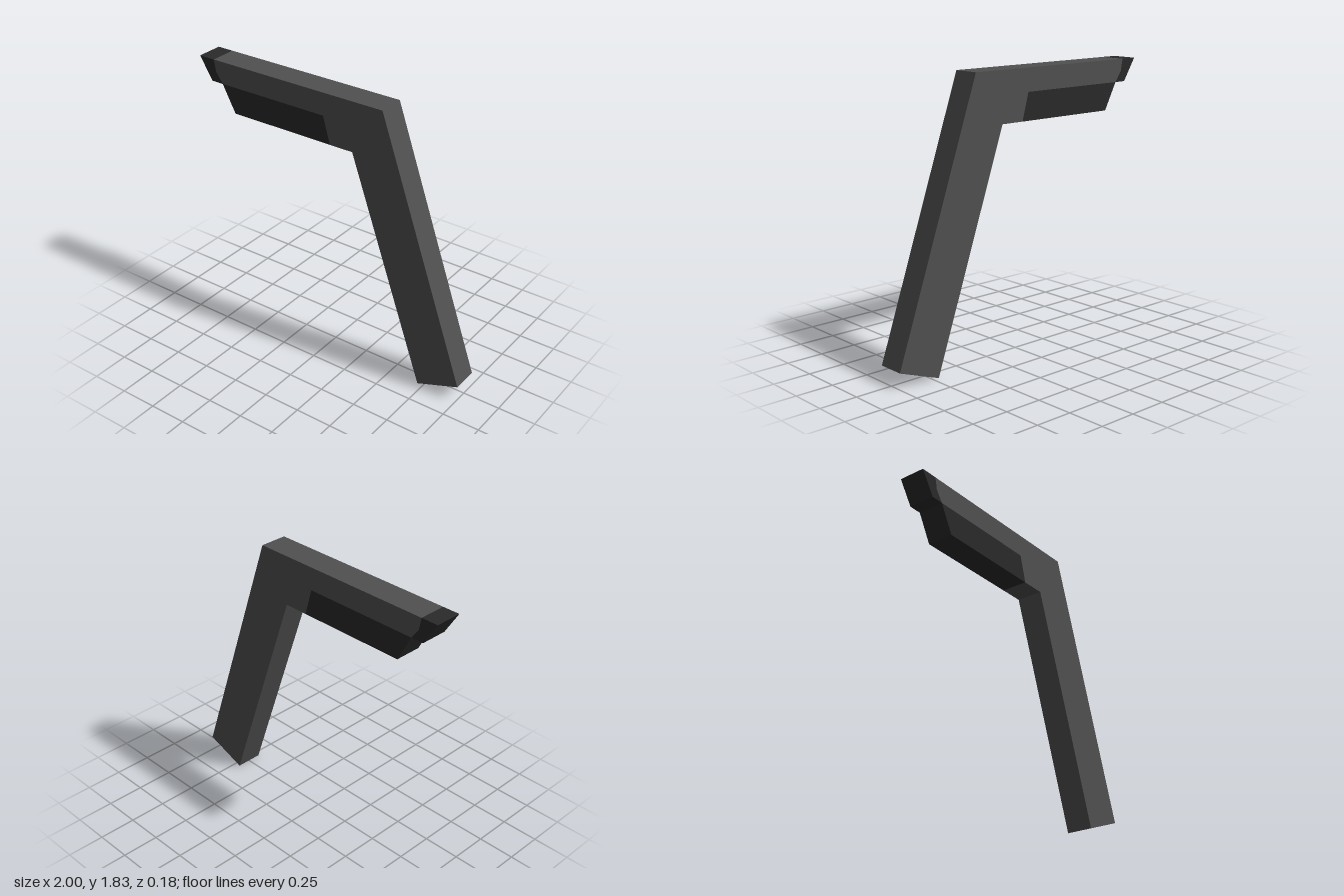
import * as THREE from 'three';

const DEPTH = 0.18;

// Flat slab cut from a side profile, centred on z = 0
function slab(name, points, material) {
  const shape = new THREE.Shape(points.map(([x, y]) => new THREE.Vector2(x, y)));
  const geometry = new THREE.ExtrudeGeometry(shape, { depth: DEPTH, bevelEnabled: false });
  geometry.translate(0, 0, -DEPTH / 2);
  const mesh = new THREE.Mesh(geometry, material);
  mesh.name = name;
  return mesh;
}

export function createModel() {
  const grey = new THREE.MeshStandardMaterial({ name: 'frame grey', color: 0x505050 });
  const dark = new THREE.MeshStandardMaterial({ name: 'dark grey', color: 0x2a2a2a });

  // Corners shared by neighbouring parts
  const tipTop = [-0.885, 1.83];
  const tipBend = [-0.87, 1.75];
  const notch = [-0.82, 1.68];
  const panelTop = [-0.03, 1.68];
  const panelBottom = [0.02, 1.5];

  const model = new THREE.Group();
  model.name = 'angledBracket';

  // Upper arm and slanted leg in one piece
  model.add(slab('armAndLeg', [
    tipTop, tipBend, notch, panelTop, panelBottom,
    [0.185, 1.5], [0.71, 0], [1, 0.105], [0.395, 1.83],
  ], grey));

  // Dark pointed end of the arm
  model.add(slab('armTip', [
    [-1, 1.83], [-0.905, 1.68], notch, tipBend, tipTop,
  ], dark));

  // Dark block under the arm
  model.add(slab('underBlock', [
    notch, [-0.725, 1.5], panelBottom, panelTop,
  ], dark));

  return model;
}
